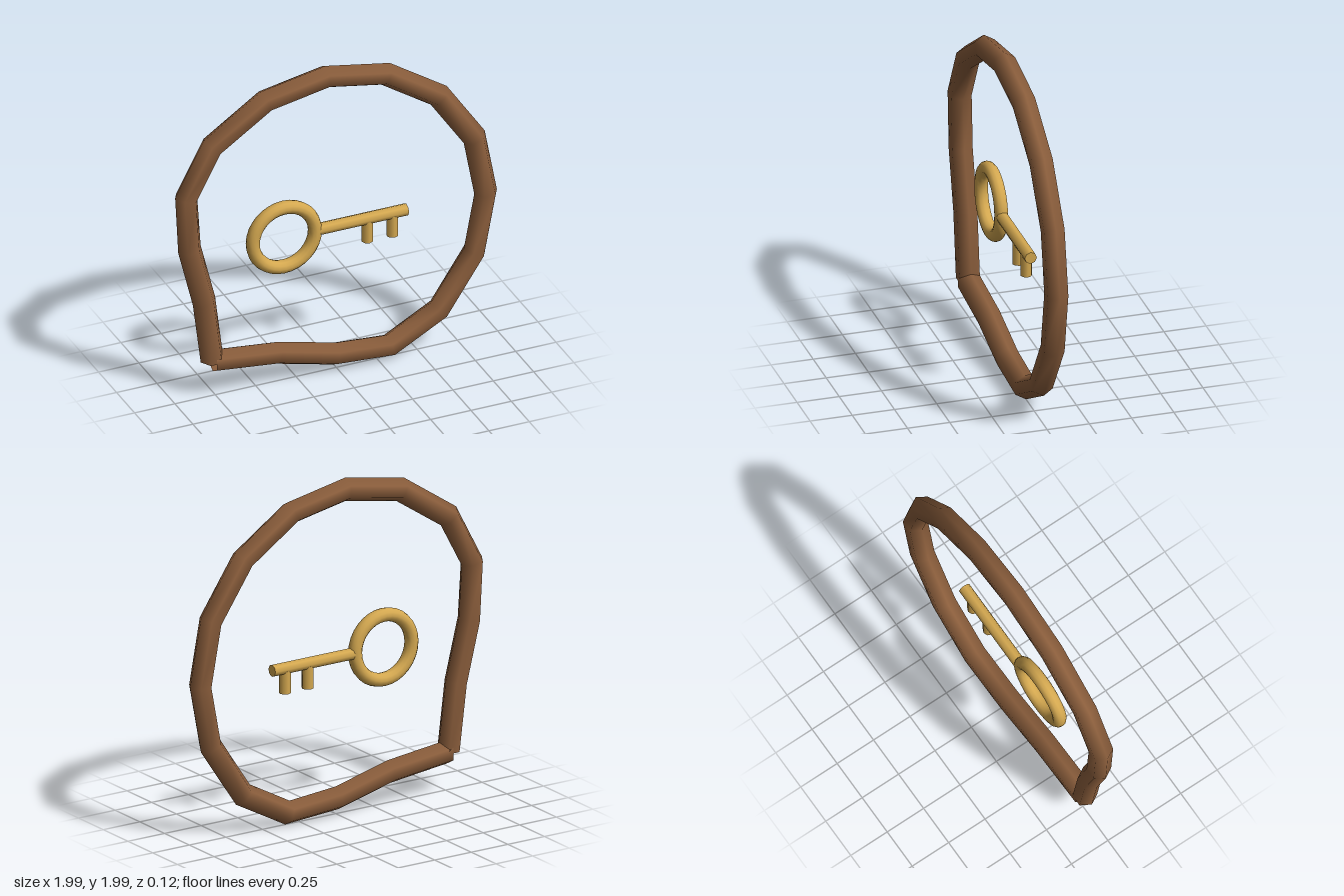
import * as THREE from 'three';

const brown = new THREE.MeshStandardMaterial({ color: 0x8b5e3c, side: THREE.DoubleSide });
brown.name = 'brown wood';
const gold = new THREE.MeshStandardMaterial({ color: 0xd4a850 });
gold.name = 'gold';

// Centre line of the frame, from the lower left corner clockwise
const path = [
  [-0.77, 0.24], [-0.82, 0.64], [-0.91, 1.0], [-0.93, 1.34], [-0.77, 1.64], [-0.44, 1.86],
  [-0.065, 1.93], [0.305, 1.86], [0.635, 1.64], [0.855, 1.315], [0.925, 0.94], [0.855, 0.57],
  [0.635, 0.24], [0.33, 0.075], [-0.01, 0.1], [-0.365, 0.19], [-0.765, 0.235],
].map(([x, y]) => new THREE.Vector2(x, y));

// Six-sided open tube swept along a flat path, with edges pointing in the plane of the path
function sweep(points, radius, sides) {
  const position = [], normal = [], index = [];
  const last = points.length - 1;
  points.forEach((p, i) => {
    const t = new THREE.Vector2();
    if (i === 0) t.set(0, 1);
    else if (i === last) t.set(-1, 0);
    else {
      t.copy(p).sub(points[i - 1]).normalize();
      t.add(points[i + 1].clone().sub(p).normalize()).normalize();
    }
    for (let j = 0; j <= sides; j++) {
      const a = (j / sides) * Math.PI * 2;
      const n = [-t.y * Math.cos(a), t.x * Math.cos(a), Math.sin(a)];
      normal.push(...n);
      position.push(p.x + radius * n[0], p.y + radius * n[1], radius * n[2]);
      if (i < last && j < sides) {
        const k = i * (sides + 1) + j, m = k + sides + 1;
        index.push(k, k + 1, m + 1, k, m + 1, m);
      }
    }
  });
  const g = new THREE.BufferGeometry();
  g.setAttribute('position', new THREE.Float32BufferAttribute(position, 3));
  g.setAttribute('normal', new THREE.Float32BufferAttribute(normal, 3));
  g.setIndex(index);
  return g;
}

function addMesh(parent, name, geometry, material, x = 0, y = 0) {
  const mesh = new THREE.Mesh(geometry, material);
  mesh.name = name;
  mesh.position.set(x, y, 0);
  parent.add(mesh);
  return mesh;
}

export function createModel() {
  const model = new THREE.Group();
  model.name = 'framedKey';

  addMesh(model, 'frame', sweep(path, 0.07, 6), brown);

  // Key: bow ring, shaft and two teeth
  const key = new THREE.Group();
  key.name = 'key';
  key.position.y = 0.94;
  model.add(key);
  addMesh(key, 'bow', new THREE.TorusGeometry(0.1925, 0.04, 12, 32), gold, -0.325);
  const shaft = addMesh(key, 'shaft', new THREE.CylinderGeometry(0.036, 0.036, 0.565, 8), gold, 0.1525);
  shaft.rotation.z = Math.PI / 2;
  for (const x of [0.192, 0.347]) {
    addMesh(key, 'tooth', new THREE.CylinderGeometry(0.034, 0.034, 0.135, 8), gold, x, -0.0795);
  }
  return model;
}
